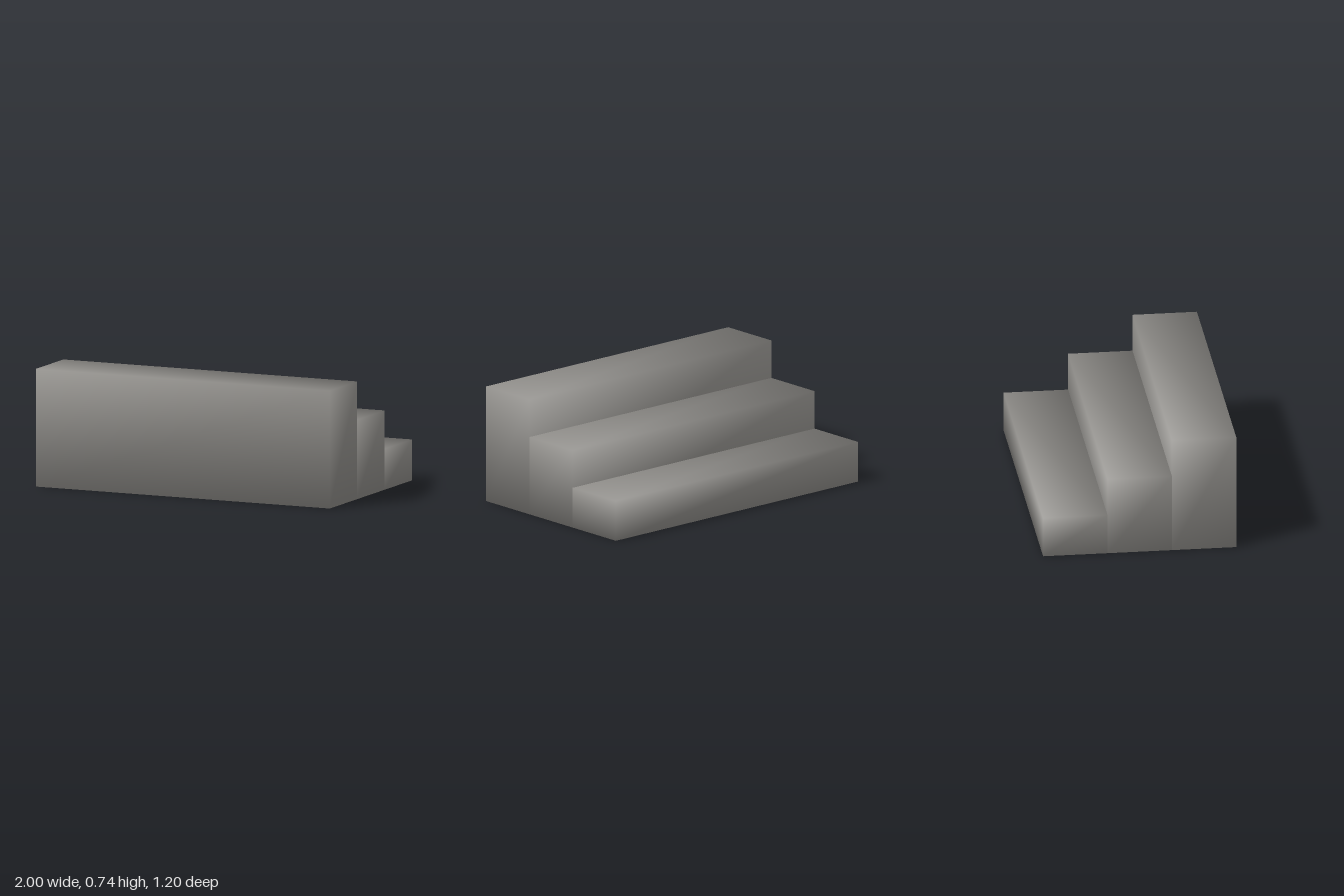
import * as THREE from 'three';

const concrete = new THREE.MeshStandardMaterial({ color: 0x94928e });
concrete.name = 'concrete grey';

// Box standing on y = 0 whose corner normals are shared by the three faces
function softBlock(width, height, depth) {
  const geometry = new THREE.BoxGeometry(width, height, depth);
  const { position, normal } = geometry.attributes;
  const k = 1 / Math.sqrt(3);
  for (let i = 0; i < position.count; i++) {
    normal.setXYZ(
      i,
      Math.sign(position.getX(i)) * k,
      Math.sign(position.getY(i)) * k,
      Math.sign(position.getZ(i)) * k
    );
  }
  geometry.translate(0, height / 2, 0);
  return geometry;
}

export function createModel() {
  const stairs = new THREE.Group();
  stairs.name = 'stairs';

  // Three full-height blocks, rising from the back to the front
  const parts = [
    ['lowerStep', 0.255, -0.4],
    ['middleStep', 0.495, 0],
    ['upperStep', 0.735, 0.4],
  ];
  for (const [name, height, z] of parts) {
    const step = new THREE.Mesh(softBlock(2, height, 0.4), concrete);
    step.name = name;
    step.position.z = z;
    stairs.add(step);
  }
  return stairs;
}
